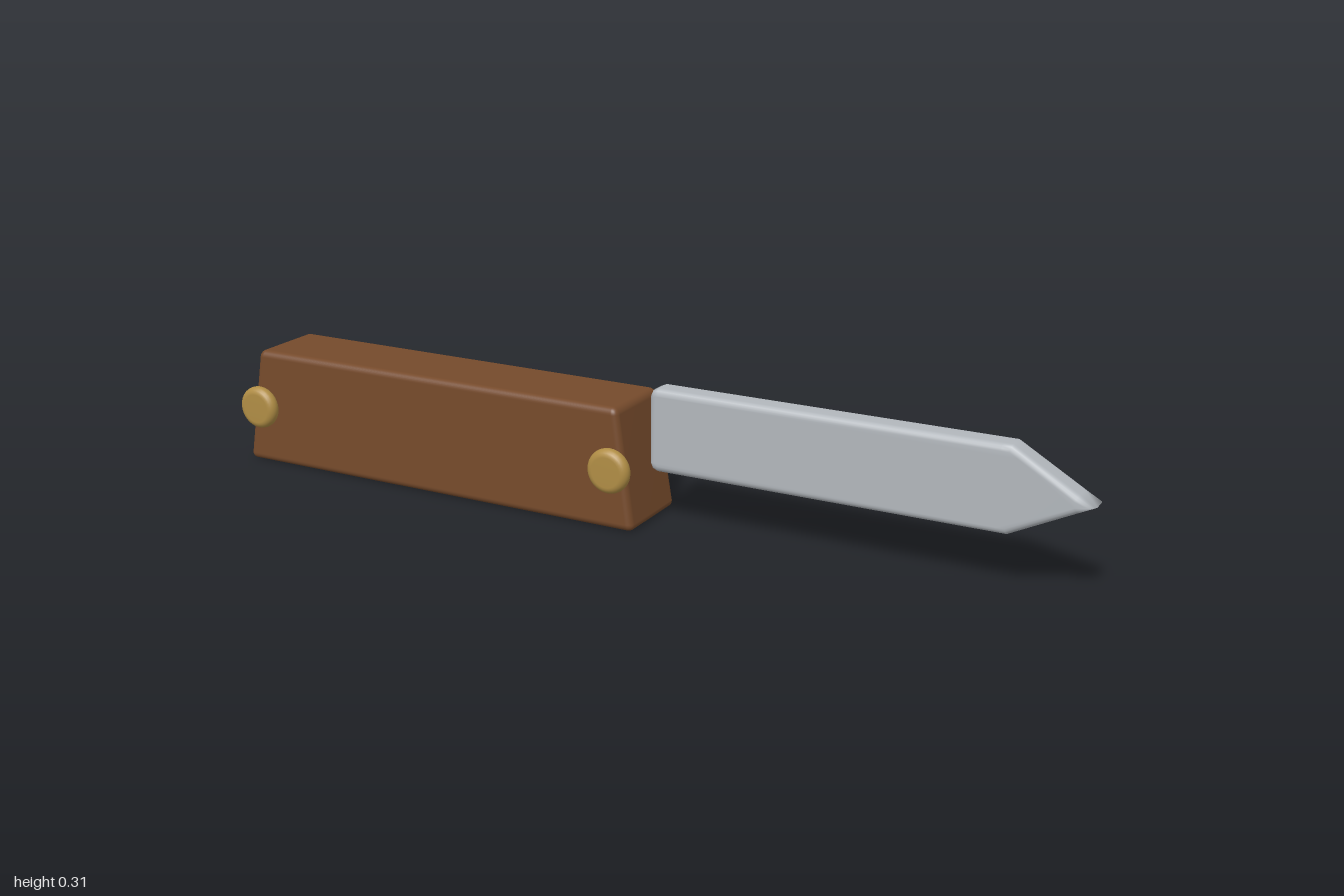
import * as THREE from 'three';
import { RoundedBoxGeometry } from 'three/addons/geometries/RoundedBoxGeometry.js';
import { mergeVertices } from 'three/addons/utils/BufferGeometryUtils.js';

const wood = new THREE.MeshStandardMaterial({ name: 'wood', color: 0x754a2b });
const steel = new THREE.MeshStandardMaterial({ name: 'steel', color: 0xb2b7bc });
const brass = new THREE.MeshStandardMaterial({ name: 'brass', color: 0xb08d45 });

const midZ = -0.012; // centre plane of handle and blade

// Weld the corners and rebuild area-weighted smooth normals
function smooth(geometry) {
  geometry.deleteAttribute('normal');
  geometry.deleteAttribute('uv');
  geometry.clearGroups();
  const welded = mergeVertices(geometry, 1e-5);
  welded.computeVertexNormals();
  return welded;
}

function addMesh(group, name, geometry, material) {
  const mesh = new THREE.Mesh(geometry, material);
  mesh.name = name;
  group.add(mesh);
  return mesh;
}

// Rounded block that narrows towards the top
function handleGeometry() {
  const height = 0.27;
  const geometry = new RoundedBoxGeometry(1.04, height, 0.2, 4, 0.016);
  const p = geometry.attributes.position;
  for (let i = 0; i < p.count; i++) {
    const t = p.getY(i) / height + 0.5;
    p.setX(i, p.getX(i) * (1 - 0.082 * t));
    p.setZ(i, p.getZ(i) * (1 - 0.065 * t));
  }
  return smooth(geometry);
}

// Flat bar with a pointed tip and rounded edges; extra outline points keep corners tight
function bladeGeometry() {
  const x0 = 0.042, y0 = 0.12, y1 = 0.305, shoulder = 0.83, tip = [1, 0.205], c = 0.018;
  const along = (y, t) => [shoulder + (tip[0] - shoulder) * t, y + (tip[1] - y) * t];
  const outline = [
    [x0 + c, y0], [shoulder - 0.02, y0], [shoulder, y0], along(y0, 0.12), along(y0, 0.8),
    tip,
    along(y1, 0.8), along(y1, 0.12), [shoulder, y1], [shoulder - 0.02, y1], [x0 + c, y1],
    [x0 + c * 0.3, y1 - c * 0.3], [x0, y1 - c], [x0, y0 + c], [x0 + c * 0.3, y0 + c * 0.3],
  ];
  const bevel = 0.014, thickness = 0.06;
  const geometry = new THREE.ExtrudeGeometry(
    new THREE.Shape(outline.map(([x, y]) => new THREE.Vector2(x, y))),
    {
      depth: thickness - 2 * bevel, bevelEnabled: true, bevelThickness: bevel,
      bevelSize: bevel, bevelOffset: -bevel, bevelSegments: 4,
    });
  geometry.translate(0, 0, midZ - thickness / 2 + bevel);
  return smooth(geometry);
}

// Disc with a fully rounded rim, facing +z
function pinGeometry() {
  const radius = 0.05, half = 0.0165, steps = 10;
  const profile = [new THREE.Vector2(0, -half)];
  for (let i = 0; i <= steps; i++) {
    const a = -Math.PI / 2 + (Math.PI * i) / steps;
    profile.push(new THREE.Vector2(radius - half + half * Math.cos(a), half * Math.sin(a)));
  }
  profile.push(new THREE.Vector2(0, half));
  return new THREE.LatheGeometry(profile, 32).rotateX(Math.PI / 2);
}

export function createModel() {
  const model = new THREE.Group();
  model.name = 'foldingKnife';

  addMesh(model, 'handle', handleGeometry(), wood).position.set(-0.48, 0.135, midZ);
  addMesh(model, 'blade', bladeGeometry(), steel);

  const pin = pinGeometry();
  addMesh(model, 'endPin', pin, brass).position.set(-0.95, 0.137, 0.098);
  addMesh(model, 'pivotPin', pin, brass).position.set(-0.01, 0.137, 0.098);
  return model;
}
